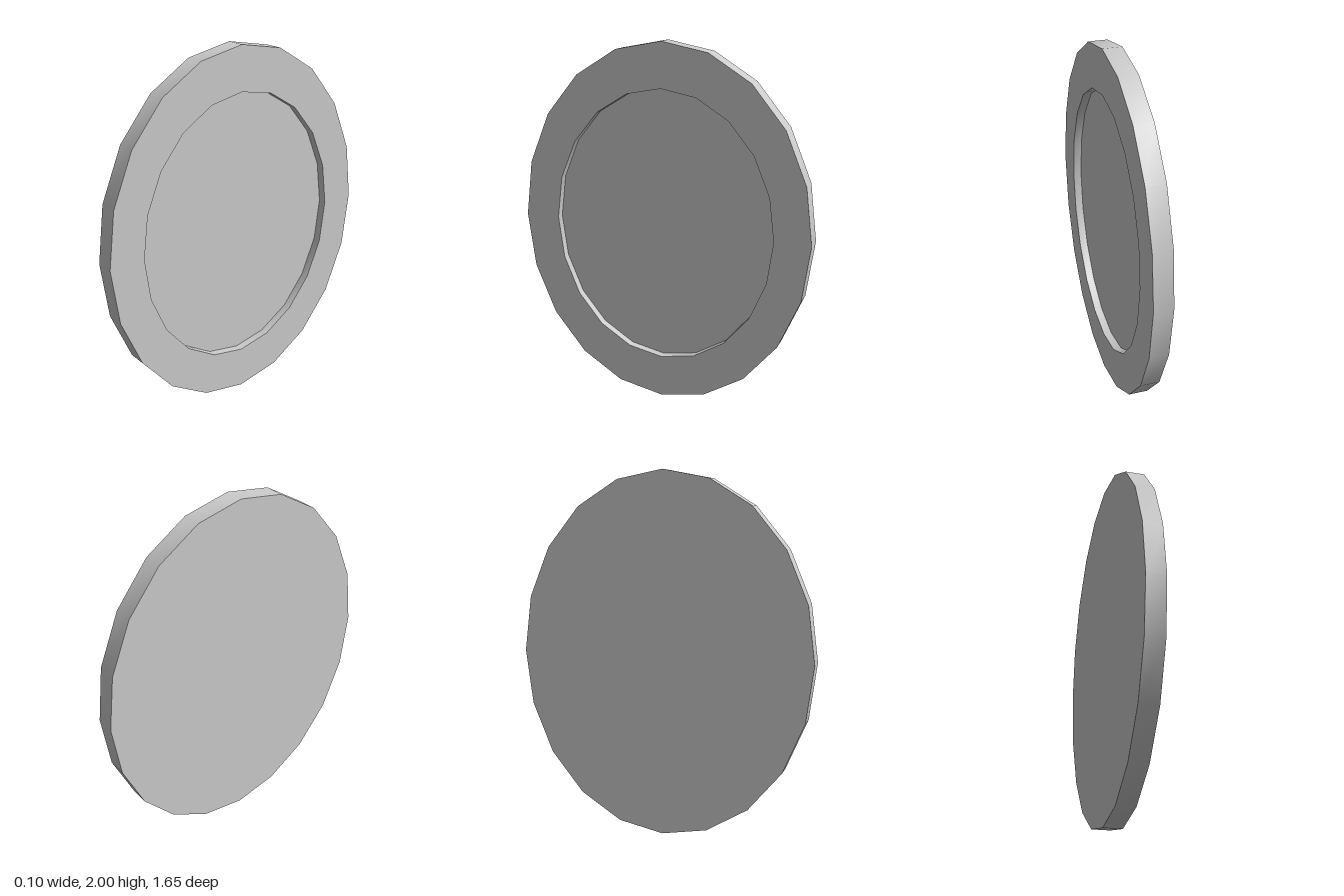
import * as THREE from 'three';
import { toCreasedNormals } from 'three/addons/utils/BufferGeometryUtils.js';

const SIDES = 20;
const DEPTH_RATIO = 0.825; // oval width relative to its height
const HALF = 0.052;        // half of the thickness
const INNER = 0.759;       // radius of the recess
const FLOOR = 0.007;       // x position of the recessed panel

// Turns a [radius, x] profile about the x axis and squeezes it into an oval
function ovalPart(name, profile, material) {
  const points = profile.map(([r, x]) => new THREE.Vector2(r, x));
  const geometry = new THREE.LatheGeometry(points, SIDES);
  geometry.rotateZ(-Math.PI / 2);
  geometry.scale(1, 1, DEPTH_RATIO);
  const mesh = new THREE.Mesh(toCreasedNormals(geometry, Math.PI / 6), material);
  mesh.name = name;
  mesh.position.y = 1;
  return mesh;
}

export function createModel() {
  const group = new THREE.Group();
  group.name = 'ovalMirror';
  const material = new THREE.MeshStandardMaterial({ color: 0xcccccc });

  // Flat back, outer edge, front rim and inner wall of the recess
  group.add(ovalPart('frame', [[0, -HALF], [1, -HALF], [1, HALF], [INNER, HALF], [INNER, FLOOR]], material));

  // Recessed panel inside the rim
  group.add(ovalPart('mirrorPanel', [[INNER, FLOOR], [0, FLOOR]], material));

  return group;
}
